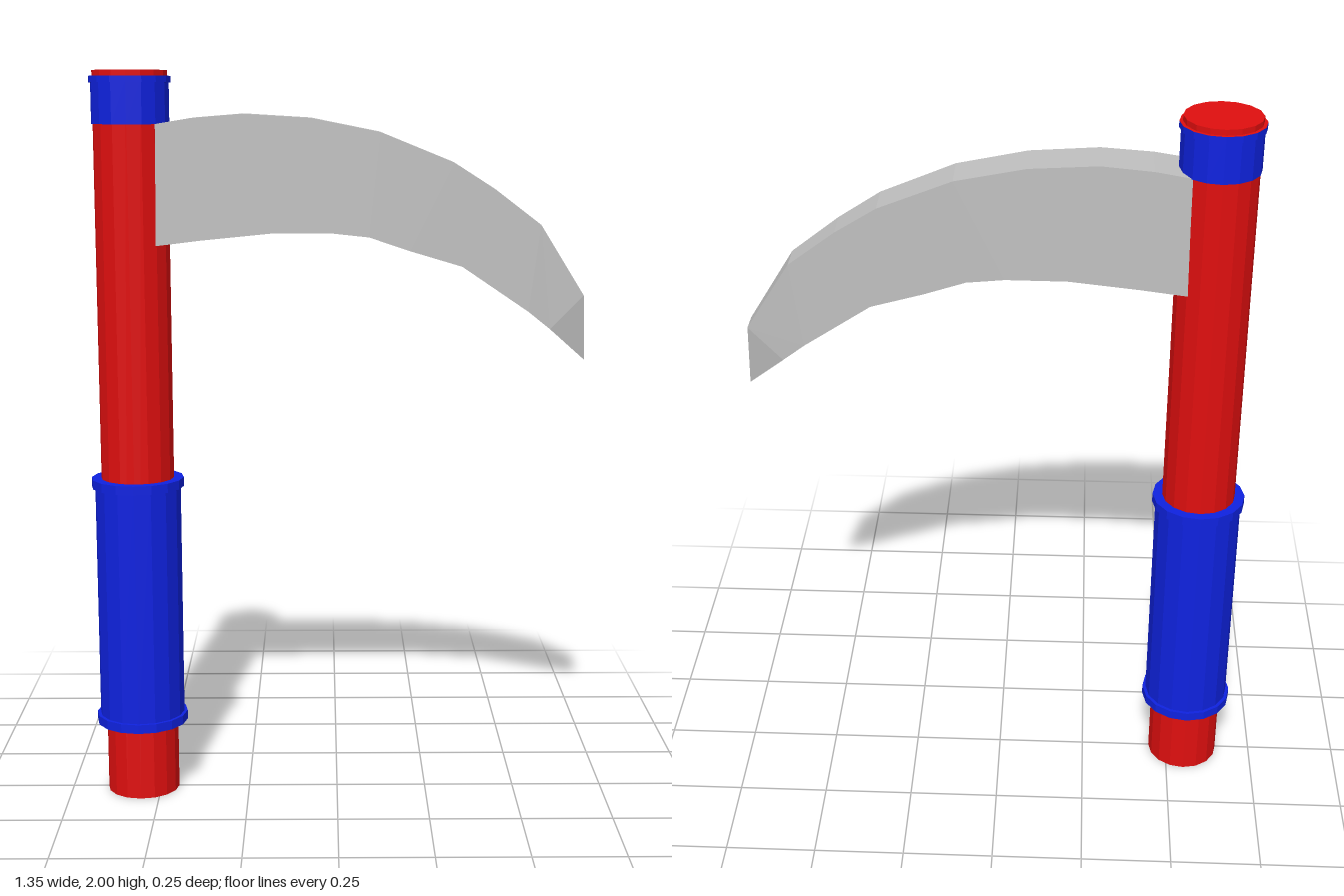
import * as THREE from 'three';

export function createModel() {
  const mat = (name, color) => {
    const m = new THREE.MeshStandardMaterial({ color, flatShading: true });
    m.name = name;
    return m;
  };
  const red = mat('red', 0xe00f0f);
  const blue = mat('blue', 0x0f22e0);
  const steel = mat('steel grey', 0xc0c0c0);

  const model = new THREE.Group();
  model.name = 'sickle';

  const shaft = new THREE.Group();
  shaft.name = 'shaft';
  shaft.position.x = -0.55;
  model.add(shaft);

  // Cylinder between two heights; materials are [side, top, bottom]
  const ring = (name, radius, y0, y1, side, top = side, bottom = side) => {
    const geo = new THREE.CylinderGeometry(radius, radius, y1 - y0, 16);
    const mesh = new THREE.Mesh(geo, [side, top, bottom]);
    mesh.name = name;
    mesh.position.y = (y0 + y1) / 2;
    shaft.add(mesh);
  };

  // Handle pole
  ring('pole', 0.1, 0, 2, red);

  // Grip sleeve with a rim at each end
  ring('gripSleeve', 0.118, 0.21, 0.89, blue);
  ring('gripLowerRim', 0.127, 0.2, 0.225, blue, blue, red);
  ring('gripUpperRim', 0.127, 0.875, 0.9, blue);

  // Collar above the blade
  ring('collar', 0.104, 1.86, 1.975, blue);
  ring('collarRim', 0.109, 1.968, 1.985, blue, red, blue);

  // Blade sections: spine x, y, half width, then cutting edge x, y, half width
  const sections = [
    [-0.5, 1.857, 0.07, -0.5, 1.539, 0.073],
    [-0.385, 1.876, 0.068, -0.36, 1.556, 0.071],
    [-0.25, 1.887, 0.064, -0.175, 1.574, 0.067],
    [-0.07, 1.876, 0.062, -0.015, 1.574, 0.065],
    [0.115, 1.839, 0.06, 0.085, 1.563, 0.062],
    [0.31, 1.76, 0.055, 0.195, 1.526, 0.059],
    [0.42, 1.69, 0.05, 0.335, 1.484, 0.053],
    [0.545, 1.595, 0.044, 0.515, 1.362, 0.044],
    [0.665, 1.405, 0.031, 0.575, 1.314, 0.037],
  ];
  const positions = [];
  const index = [];
  for (const [tx, ty, tw, bx, by, bw] of sections) {
    positions.push(tx, ty, tw, bx, by, bw, bx, by, -bw, tx, ty, -tw);
  }
  positions.push(0.675, 1.225, 0);
  const last = sections.length - 1;
  const tip = sections.length * 4;
  for (let i = 0; i <= last; i++) {
    for (let k = 0; k < 4; k++) {
      const a = i * 4 + k;
      const b = i * 4 + ((k + 1) % 4);
      if (i < last) index.push(a, b, b + 4, a, b + 4, a + 4);
      else index.push(a, b, tip);
    }
  }
  index.push(0, 3, 2, 0, 2, 1); // root cap inside the pole
  const bladeGeo = new THREE.BufferGeometry();
  bladeGeo.setAttribute('position', new THREE.Float32BufferAttribute(positions, 3));
  bladeGeo.setIndex(index);
  const faceted = bladeGeo.toNonIndexed();
  faceted.computeVertexNormals();
  const blade = new THREE.Mesh(faceted, steel);
  blade.name = 'blade';
  model.add(blade);

  return model;
}
